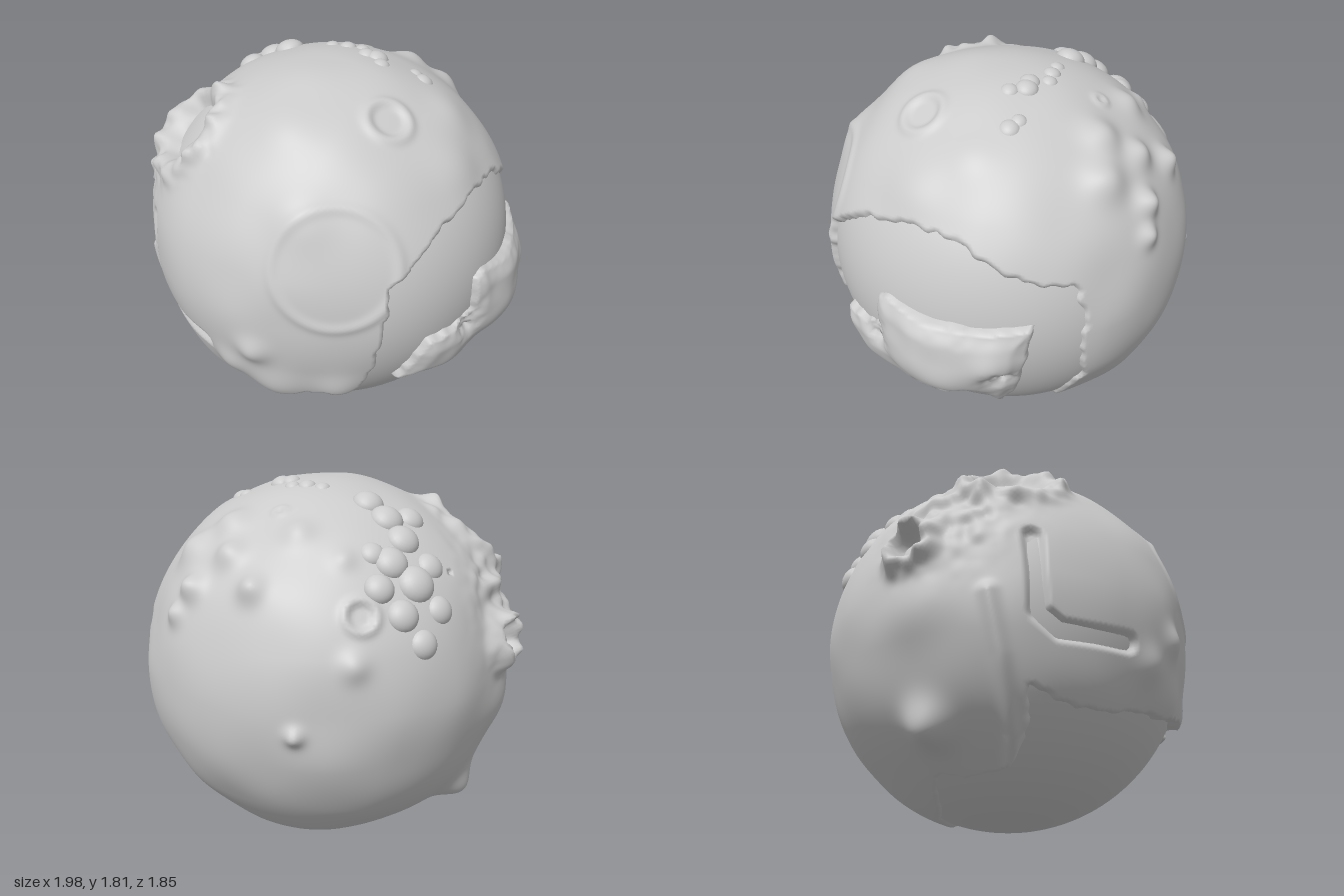
import * as THREE from 'three';
import { mergeVertices } from 'three/addons/utils/BufferGeometryUtils.js';

const R = 0.895;
const V = (a) => new THREE.Vector3(...a);
const S = THREE.MathUtils.smoothstep;
const gauss = (d, w) => Math.exp(-(d * d) / (w * w));

// Seeded value noise in 0..1
function hash(x, y, z) {
  const s = Math.sin(x * 127.1 + y * 311.7 + z * 74.7) * 43758.5453;
  return s - Math.floor(s);
}
function noise(p, f) {
  const x = p.x * f + 50, y = p.y * f + 50, z = p.z * f + 50;
  const i = Math.floor(x), j = Math.floor(y), k = Math.floor(z);
  const a = S(x - i, 0, 1), b = S(y - j, 0, 1), c = S(z - k, 0, 1);
  const L = THREE.MathUtils.lerp;
  const row = (dj, dk) => L(hash(i, j + dj, k + dk), hash(i + 1, j + dj, k + dk), a);
  return L(L(row(0, 0), row(1, 0), b), L(row(0, 1), row(1, 1), b), c);
}

// Flattened map centred on the sea, used to draw coastlines
const seaAxis = V([0.75, -0.55, 0.1]).normalize();
const mapX = V([0, 1, 0]).cross(seaAxis).normalize();
const mapY = seaAxis.clone().cross(mapX);
function toMap(v) {
  const p = v.clone().normalize();
  const k = Math.sqrt(2 / (1.0001 + p.dot(seaAxis)));
  return [k * p.dot(mapX), k * p.dot(mapY)];
}
// Signed distance to a closed coastline, positive inside
function inside([x, y], poly) {
  let best = 9, isIn = false;
  poly.forEach(([ax, ay], i) => {
    const [bx, by] = poly[(i + 1) % poly.length];
    const dx = bx - ax, dy = by - ay;
    const t = THREE.MathUtils.clamp(((x - ax) * dx + (y - ay) * dy) / (dx * dx + dy * dy), 0, 1);
    best = Math.min(best, Math.hypot(x - ax - t * dx, y - ay - t * dy));
    if ((ay > y) !== (by > y) && x < ax + ((y - ay) / dy) * dx) isIn = !isIn;
  });
  return isIn ? best : -best;
}

const sea = [
  [0.52, -0.4, 0.62], [0.6, -0.1, 0.64], [0.62, 0.2, 0.6], [0.72, 0.38, 0.37], [0.77, 0.46, 0.07],
  [0.77, 0.43, -0.15], [0.74, 0.3, -0.38], [0.6, 0.25, -0.6], [0.58, 0.1, -0.65], [0.53, -0.3, -0.64],
  [0.5, -0.55, -0.48], [0.1, -0.77, -0.4], [-0.2, -0.83, -0.25], [-0.5, -0.74, 0], [-0.38, -0.74, 0.33],
  [-0.52, -0.47, 0.56], [-0.2, -0.53, 0.69], [0, -0.48, 0.75], [0.3, -0.42, 0.73],
].map((a) => toMap(V(a)));

// Island outline as seen from its own side: z, y
const onSide = (z, y) => V([Math.sqrt(Math.max(0, R * R - z * z - y * y)), y, z]);
const island = [
  [0.53, -0.38], [0.47, -0.12], [0.32, -0.12], [0.22, -0.08], [0.22, 0.1], [0.16, 0.12], [-0.5, 0.1],
  [-0.47, -0.1], [-0.41, -0.34], [-0.31, -0.48], [-0.25, -0.4], [-0.2, -0.32], [-0.03, -0.33],
  [0.04, -0.45], [-0.04, -0.6], [0.14, -0.5], [0.3, -0.4],
].map(([z, y]) => toMap(onSide(z, y)));

// Hills and peaks: x, y, z, width, height
const hills = [
  [0.15, 0.72, -0.52, 0.09, 0.05], [-0.2, 0.7, -0.5, 0.07, 0.03], [-0.13, 0.5, -0.73, 0.06, 0.05],
  [0.18, 0.46, -0.745, 0.06, 0.06], [0.3, 0.6, -0.6, 0.09, 0.05], [0.05, 0.62, -0.66, 0.07, 0.05],
  [-0.58, 0.22, -0.64, 0.06, 0.03], [-0.39, -0.08, -0.8, 0.04, 0.04], [0.25, 0.35, -0.8, 0.05, 0.04],
  [0.05, 0.75, 0.48, 0.12, 0.015], [0.25, 0.5, 0.7, 0.13, 0.03], [0.1, -0.15, 0.88, 0.07, 0.035],
  [0.15, -0.4, 0.79, 0.13, 0.04], [0.42, -0.38, 0.68, 0.1, 0.03], [-0.05, -0.3, 0.84, 0.08, 0.025],
  [-0.72, -0.62, 0.14, 0.1, 0.09], [-0.86, -0.15, 0.2, 0.15, 0.03], [-0.48, 0.7, -0.55, 0.05, 0.02],
  [0.68, 0.55, 0.1, 0.14, 0.02], [0.55, 0.7, -0.1, 0.12, 0.02],
].map(([x, y, z, w, h]) => ({ c: V([x, y, z]).setLength(R), w, h }));

// Craters: x, y, z, rim radius, rim width, rim height, floor drop, raggedness
const craters = [
  [-0.5, 0.6, 0.44, 0.21, 0.06, 0.055, 0.04, 1], [-0.86, 0.18, 0.17, 0.1, 0.05, 0.08, 0.06, 1],
  [0.43, 0.3, 0.73, 0.27, 0.025, 0.01, 0, 0], [0.4, 0.77, 0.22, 0.1, 0.025, 0.014, 0.006, 0],
  [-0.61, 0.45, -0.61, 0.07, 0.02, 0.015, 0.008, 0], [-0.05, 0.78, -0.43, 0.03, 0.015, 0.01, 0, 0],
].map(([x, y, z, r, w, h, drop, rag]) => ({ c: V([x, y, z]).setLength(R), r, w, h, drop, rag }));

const segments = (pts) => pts.slice(1).map((b, i) => new THREE.Line3(V(pts[i]).setLength(R), V(b).setLength(R)));
const inlet = segments([[-0.6, 0.18, 0.64], [-0.58, -0.18, 0.65], [-0.5, -0.25, 0.7], [-0.2, -0.24, 0.83]]);
const ridge = segments([[-0.72, -0.1, 0.5], [-0.64, -0.35, 0.5], [-0.48, -0.62, 0.43], [-0.36, -0.76, 0.32]]);
const near = new THREE.Vector3();
const lineDist = (segs, p) => Math.min(...segs.map((s) => s.closestPointToPoint(p, true, near).distanceTo(p)));
const roughPatch = V([-0.77, 0.36, 0.3]).setLength(R);

function landHeight(p) {
  const jag = (noise(p, 22) - 0.5) * 0.035;
  const shore = -inside(toMap(p), sea) + jag;
  const land = S(shore, -0.015, 0.02);
  let h = 0.006 + 0.022 * noise(p, 4) + 0.01 * S(p.z, 0, 0.5);
  for (const f of hills) h += f.h * gauss(p.distanceTo(f.c), f.w);
  h += 0.09 * gauss(p.distanceTo(roughPatch), 0.22) * (noise(p, 17) - 0.3);
  h += 0.035 * gauss(lineDist(ridge, p), 0.035);
  h -= 0.03 * (1 - S(lineDist(inlet, p), 0.025, 0.055));
  for (const c of craters) {
    const d = p.distanceTo(c.c);
    const uneven = c.rag ? 0.4 + 1.1 * noise(p, 20) : 1;
    h += c.h * uneven * gauss(d - c.r, c.w) - c.drop * (1 - S(d, c.r * 0.6, c.r * 0.9));
  }
  return -0.03 + (h + 0.03) * land;
}

// Island: steep coast, high middle ridge and two ragged pits
const islandHills = [
  [-0.15, -0.19, 0.16, 0.06], [0.02, -0.2, 0.12, 0.03], [-0.33, -0.1, 0.09, 0.035],
  [0.32, -0.25, 0.1, 0.02], [-0.05, 0.03, 0.12, 0.015],
].map(([z, y, w, h]) => ({ c: onSide(z, y), w, h }));
const pits = [onSide(0.24, -0.15), onSide(-0.35, -0.19)];
function islandHeight(p) {
  if (p.x < 0.4) return -0.03;
  const coast = inside(toMap(p), island) + (noise(p, 24) - 0.5) * 0.02;
  let h = 0.025 + 0.025 * S(coast, 0, 0.1) + 0.02 * (noise(p, 9) - 0.5);
  for (const f of islandHills) h += f.h * gauss(p.distanceTo(f.c), f.w);
  for (const c of pits) h -= 0.07 * gauss(p.distanceTo(c), 0.055) * (0.2 + noise(p, 40));
  return -0.03 + (h + 0.03) * S(coast, -0.012, 0.018);
}

// Raise a sphere by a height rule and drop the faces under the sea
function terrain(heightAt) {
  let geo = new THREE.IcosahedronGeometry(R, 76);
  geo.deleteAttribute('normal');
  geo.deleteAttribute('uv');
  geo = mergeVertices(geo, 1e-4);
  const pos = geo.attributes.position, p = new THREE.Vector3(), heights = [];
  for (let i = 0; i < pos.count; i++) {
    p.fromBufferAttribute(pos, i);
    heights[i] = heightAt(p);
    p.setLength(R + heights[i]);
    pos.setXYZ(i, p.x, p.y, p.z);
  }
  const keep = [], idx = geo.index.array;
  for (let i = 0; i < idx.length; i += 3) {
    const tri = [idx[i], idx[i + 1], idx[i + 2]];
    if (tri.some((v) => heights[v] > -0.004)) keep.push(...tri);
  }
  geo.setIndex(keep);
  geo.computeVertexNormals();
  return geo;
}

export function createModel() {
  const group = new THREE.Group();
  const planet = new THREE.Group();
  planet.name = 'planet';
  planet.position.set(0, 0.9, -0.02);
  group.add(planet);
  const mat = new THREE.MeshStandardMaterial({ color: 0xcccccc, roughness: 0.8 });
  const add = (geo, name, parent = planet) => {
    const mesh = new THREE.Mesh(geo, mat);
    mesh.name = name;
    parent.add(mesh);
    return mesh;
  };
  add(new THREE.SphereGeometry(R, 96, 64), 'ocean');
  add(terrain(landHeight), 'continent');
  add(terrain(islandHeight), 'island');

  // Rounded boulders sitting on the surface: x, z, size
  const boulder = new THREE.SphereGeometry(1, 20, 14);
  const boulders = (name, list) => {
    const set = new THREE.Group();
    set.name = name;
    planet.add(set);
    for (const [x, z, s] of list) {
      const m = add(boulder, 'boulder', set);
      m.position.set(x, Math.sqrt(Math.max(0, R * R - x * x - z * z)), z);
      m.quaternion.setFromUnitVectors(V([0, 1, 0]), m.position.clone().normalize());
      m.scale.set(s, s * 0.75, s);
    }
  };
  boulders('rockCluster', [
    [-0.76, -0.38, 0.07], [-0.76, -0.25, 0.07], [-0.68, -0.42, 0.075], [-0.67, -0.3, 0.09], [-0.67, -0.18, 0.07],
    [-0.58, -0.45, 0.07], [-0.57, -0.34, 0.08], [-0.55, -0.21, 0.08], [-0.5, -0.38, 0.06], [-0.5, -0.06, 0.07],
    [-0.45, -0.18, 0.08], [-0.34, -0.16, 0.075],
  ]);
  boulders('summitRocks', [
    [-0.11, -0.19, 0.04], [-0.03, -0.2, 0.045], [0.04, -0.22, 0.04], [0.1, -0.15, 0.05], [0.15, -0.16, 0.055],
    [0.2, -0.1, 0.045], [0.33, -0.21, 0.04], [0.38, -0.19, 0.05],
  ]);
  return group;
}
